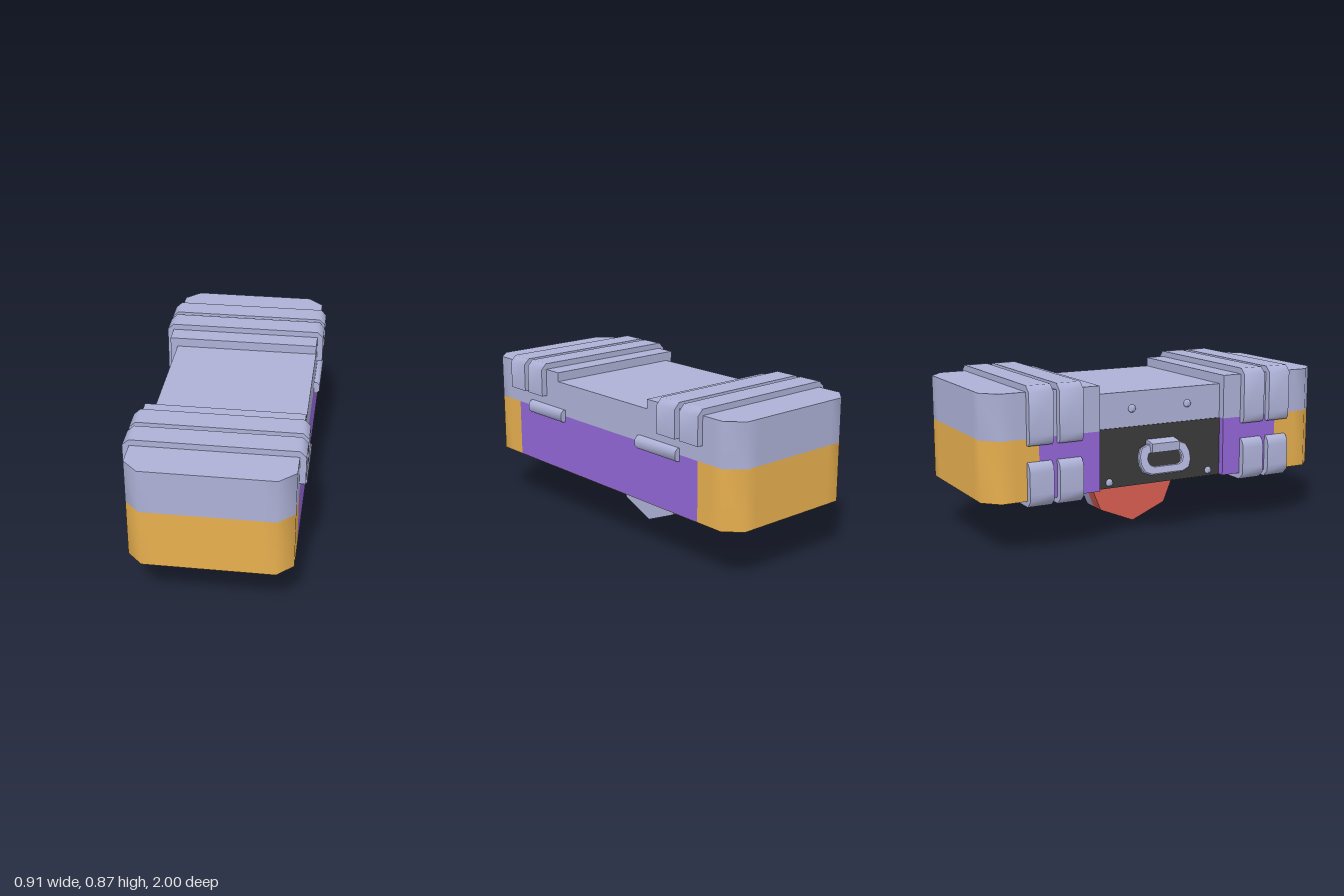
import * as THREE from 'three';
import { toCreasedNormals } from 'three/addons/utils/BufferGeometryUtils.js';

const mat = (name, color) => {
  const m = new THREE.MeshStandardMaterial({ color });
  m.name = name;
  return m;
};

const L = -0.41, R = 0.424, BOTTOM = 0.285, SEAM = 0.6, TOP = 0.835;
const NOTCH_X = -0.37, NOTCH_Z = 0.375, SIDE_Z = 0.715;
const CREASE = 0.95;

const toShape = (pts) => new THREE.Shape(pts.map(([x, y]) => new THREE.Vector2(x, y)));

// Plan outline [x, z] raised from y0 to y1, with softly shaded corners
function planPrism(pts, y0, y1) {
  const g = new THREE.ExtrudeGeometry(toShape(pts.map(([x, z]) => [x, -z])), { depth: y1 - y0, bevelEnabled: false });
  g.rotateX(-Math.PI / 2).translate(0, y0, 0);
  return toCreasedNormals(g, CREASE);
}

// Profile [x, y] extruded from z0 to z1, with softly shaded chamfers
function profilePrism(pts, z0, z1) {
  const g = new THREE.ExtrudeGeometry(toShape(pts), { depth: z1 - z0, bevelEnabled: false });
  return toCreasedNormals(g.translate(0, 0, z0), CREASE);
}

// Case end with cut corners; s is the side in z, zL and zR where it meets the middle
const endOutline = (s, zL, zR) => [
  [L, zL], [L, 0.84], [L, 0.92], [-0.33, 1], [-0.25, 1],
  [0.26, 1], [0.34, 1], [R, 0.92], [R, 0.84], [R, zR],
].map(([x, z]) => [x, z * s]);

// Middle of the lower half, with a notch for the handle panel
const middleOutline = [
  [L, SIDE_Z], [R, 0.75], [R, -0.75], [L, -SIDE_Z],
  [L, -NOTCH_Z], [NOTCH_X, -NOTCH_Z], [NOTCH_X, NOTCH_Z], [L, NOTCH_Z],
];

export function createModel() {
  const model = new THREE.Group();
  model.name = 'case';
  const shell = mat('blue grey', 0xadb1d6);
  const orange = mat('orange', 0xe8b04f);
  const purple = mat('purple', 0x9367d8);
  const red = mat('red', 0xdb5e53);
  const black = mat('black', 0x3b3b3b);

  const add = (name, geometry, material, parent = model) => {
    const mesh = new THREE.Mesh(geometry, material);
    mesh.name = name;
    parent.add(mesh);
  };

  // Lower half; the blocks beside the notch stay purple underneath
  add('lowerMiddle', planPrism(middleOutline, BOTTOM, SEAM), purple);
  add('underside', planPrism([
    [NOTCH_X, SIDE_Z], [R, 0.75], [R, -0.75], [NOTCH_X, -SIDE_Z],
  ], BOTTOM - 0.002, BOTTOM), orange);
  add('undersidePatch', planPrism([
    [0.36, 0.75], [0.15, 0.75], [0.25, 0.1], [0.31, 0.1],
  ], BOTTOM - 0.004, BOTTOM - 0.001), purple);

  // Lid centre
  add('lidMiddle', new THREE.BoxGeometry(R - NOTCH_X, 0.785 - SEAM, 0.752)
    .translate((R + NOTCH_X) / 2, (0.785 + SEAM) / 2, 0), shell);

  // Handle panel
  add('handlePanel', new THREE.BoxGeometry(0.006, SEAM - BOTTOM, 0.75)
    .translate(NOTCH_X - 0.001, (SEAM + BOTTOM) / 2, 0), black);

  const band = [
    [-0.40, 0.567], [-0.43, 0.567], [-0.445, 0.585], [-0.445, 0.62], [-0.445, 0.835], [-0.41, 0.867], [-0.38, 0.867],
    [0.395, 0.867], [0.425, 0.867], [0.456, 0.835], [0.456, 0.685], [0.41, 0.685], [0.41, 0.82], [-0.40, 0.82],
  ];
  const latch = [
    [-0.40, 0.485], [-0.425, 0.475], [-0.44, 0.455], [-0.445, 0.43], [-0.445, 0.32], [-0.445, 0.285],
    [-0.41, 0.252], [-0.38, 0.252], [-0.29, 0.252], [-0.26, 0.286], [-0.40, 0.286],
  ];
  const hinge = [
    [0.41, 0.635], [0.441, 0.635], [0.456, 0.618], [0.456, 0.585], [0.441, 0.568], [0.41, 0.568],
  ];

  for (const s of [1, -1]) {
    const span = (pts, a, b) => profilePrism(pts, Math.min(s * a, s * b), Math.max(s * a, s * b));
    add('lowerEnd', planPrism(endOutline(s, SIDE_Z, 0.75), BOTTOM - 0.002, SEAM), orange);
    add('lidEnd', planPrism(endOutline(s, NOTCH_Z, NOTCH_Z), SEAM, TOP), shell);
    add('hinge', span(hinge, 0.315, 0.62), shell);
    for (const z of [0.485, 0.65]) {
      add('band', span(band, z, z + 0.132), shell);
      add('lowerLatch', span(latch, z, z + 0.132), shell);
    }
    // Rivets on the handle panel
    for (const [z, y] of [[0.168, 0.695], [0.303, 0.315]]) {
      add('rivet', toCreasedNormals(new THREE.CylinderGeometry(0.016, 0.022, 0.014, 10), 1.4)
        .rotateZ(Math.PI / 2).translate(-0.378, y, s * z), shell);
    }
  }

  // Two-colour keel below the case, rooted inside the body
  const keel = [
    [-0.285, 0.33], [-0.285, 0.286], [-0.2, 0.083], [0, 0], [0.2, 0.083], [0.285, 0.286], [0.285, 0.33],
  ];
  const keelHalf = (x0, x1) => profilePrism(keel, 0, x1 - x0).rotateY(Math.PI / 2).translate(x0, 0, 0);
  add('keelLeft', keelHalf(0.007, 0.09), shell);
  add('keelRight', keelHalf(-0.077, 0.007), red);

  // Handle: bracket and tilted ring
  const handle = new THREE.Group();
  handle.name = 'handle';
  model.add(handle);
  add('handleBracket', profilePrism([
    [-0.36, 0.525], [-0.407, 0.518], [-0.441, 0.51], [-0.441, 0.463], [-0.36, 0.455],
  ], -0.083, 0.083), shell, handle);

  // Rounded loop outline with half width w, half height h and corner size c
  const loop = (w, h, c) => [
    [-w, -h + c], [-w + c * 0.3, -h + c * 0.3], [-w + c, -h], [w - c, -h], [w - c * 0.3, -h + c * 0.3], [w, -h + c],
    [w, h - c], [w - c * 0.3, h - c * 0.3], [w - c, h], [-w + c, h], [-w + c * 0.3, h - c * 0.3], [-w, h - c],
  ];
  const ringShape = toShape(loop(0.149, 0.077, 0.055));
  ringShape.holes.push(toShape(loop(0.108, 0.042, 0.035)));
  const ring = new THREE.ExtrudeGeometry(ringShape, {
    depth: 0.016, bevelThickness: 0.006, bevelSize: 0.006, bevelSegments: 1,
  }).translate(0, 0, -0.008).rotateY(-Math.PI / 2).rotateZ(-0.3);
  add('handleRing', toCreasedNormals(ring, 0.7).translate(-0.422, 0.424, 0), shell, handle);

  return model;
}
